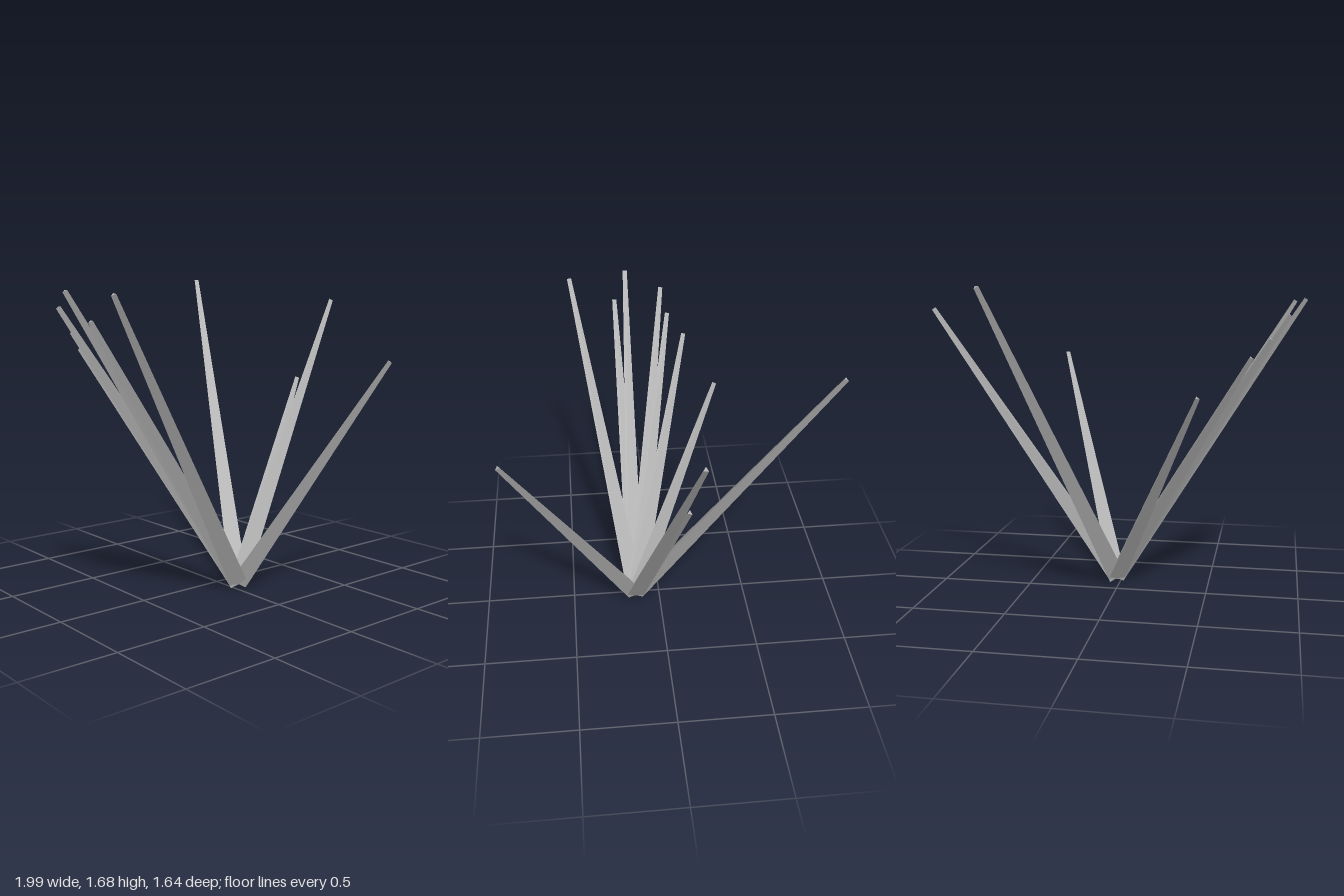
import * as THREE from 'three';

// Horizontal tip positions [x, z]; every spike leans out by the same angle.
const TIPS = [
  [0.505, -0.81], [0.455, 0.81], [0.985, -0.10], [0.685, -0.08],
  [-0.47, -0.365], [-0.725, -0.215], [-0.82, -0.13], [-0.91, -0.10],
  [-0.99, 0.10], [-0.90, 0.17], [-0.94, 0.425],
];
const ROOT = new THREE.Vector3(0.03, 0.031, 0.14);
const LEAN = 0.647; // outward run per unit of height
const UP = new THREE.Vector3(0, 1, 0);

export function createModel() {
  const group = new THREE.Group();
  group.name = 'spikeCluster';
  const grey = new THREE.MeshStandardMaterial({ color: 0xa6a6a6 });
  grey.name = 'stoneGrey';

  TIPS.forEach(([x, z], i) => {
    const axis = new THREE.Vector3(x - ROOT.x, 0, z - ROOT.z);
    axis.y = axis.length() / LEAN;
    const length = axis.length();

    // Tapered three-sided shaft with its foot at the origin, one side facing +x
    const shaft = new THREE.CylinderGeometry(0.014, 0.056, length, 3, 1, false, -Math.PI / 2);
    shaft.translate(0, length / 2, 0);
    const flat = shaft.toNonIndexed();
    flat.computeVertexNormals();

    const spike = new THREE.Mesh(flat, grey);
    spike.name = `spike${i + 1}`;
    spike.position.copy(ROOT);
    spike.quaternion.setFromUnitVectors(UP, axis.normalize());
    group.add(spike);
  });
  return group;
}
